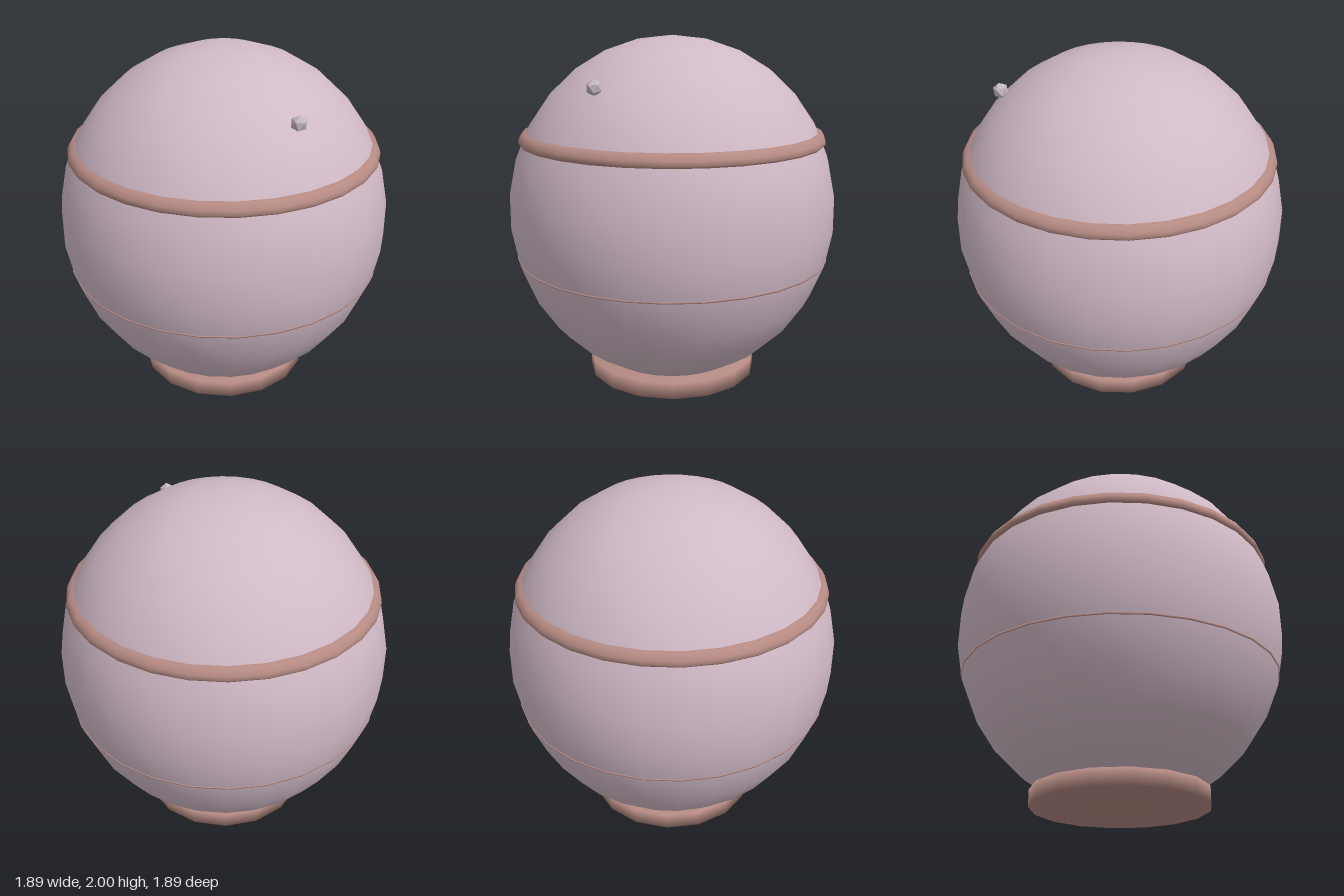
import * as THREE from 'three';
import { mergeVertices } from 'three/addons/utils/BufferGeometryUtils.js';

const SEGMENTS = 28;

function material(name, color) {
  const m = new THREE.MeshStandardMaterial({ color });
  m.name = name;
  return m;
}

// Weld shared corners so shading rolls softly over the edges
function softened(geometry) {
  geometry.deleteAttribute('normal');
  geometry.deleteAttribute('uv');
  const welded = mergeVertices(geometry, 1e-4);
  welded.computeVertexNormals();
  return welded;
}

export function createModel() {
  const model = new THREE.Group();
  model.name = 'globeOnBase';

  const mauve = material('paleMauve', 0xd0b9c6);
  const clay = material('rosyClay', 0xb58a83);
  const grey = material('pinkGrey', 0xc4b6be);

  const add = (name, geometry, mat, x = 0, y = 0, z = 0) => {
    const mesh = new THREE.Mesh(geometry, mat);
    mesh.name = name;
    mesh.position.set(x, y, z);
    model.add(mesh);
    return mesh;
  };

  // Slightly tall round body; its lowest cap is hidden in the base
  const body = add('body',
    new THREE.SphereGeometry(1, SEGMENTS, 14, 0, Math.PI * 2, 0, Math.PI * 13 / 14), mauve, 0, 1, 0);
  body.scale.set(0.95, 1, 0.95);

  // Round foot
  add('base', softened(new THREE.CylinderGeometry(0.5, 0.5, 0.095, 16)), clay, 0, 0.0475, 0);

  // Raised bands, turned from small profiles running bottom to top
  const band = (name, points) => add(name,
    softened(new THREE.LatheGeometry(points.map(([r, y]) => new THREE.Vector2(r, y)), SEGMENTS)), clay);
  band('upperBand', [[0.83, 1.395], [0.872, 1.395], [0.885, 1.41], [0.88, 1.432], [0.862, 1.462], [0.825, 1.467]]);
  band('lowerBand', [[0.89, 0.724], [0.914, 0.724], [0.917, 0.734], [0.89, 0.734]]);

  // Small faceted stud
  const stud = add('stud', new THREE.IcosahedronGeometry(0.045, 0), grey, 0.325, 1.75, 0.575);
  stud.lookAt(0.65, 2.5, 1.15);

  return model;
}
